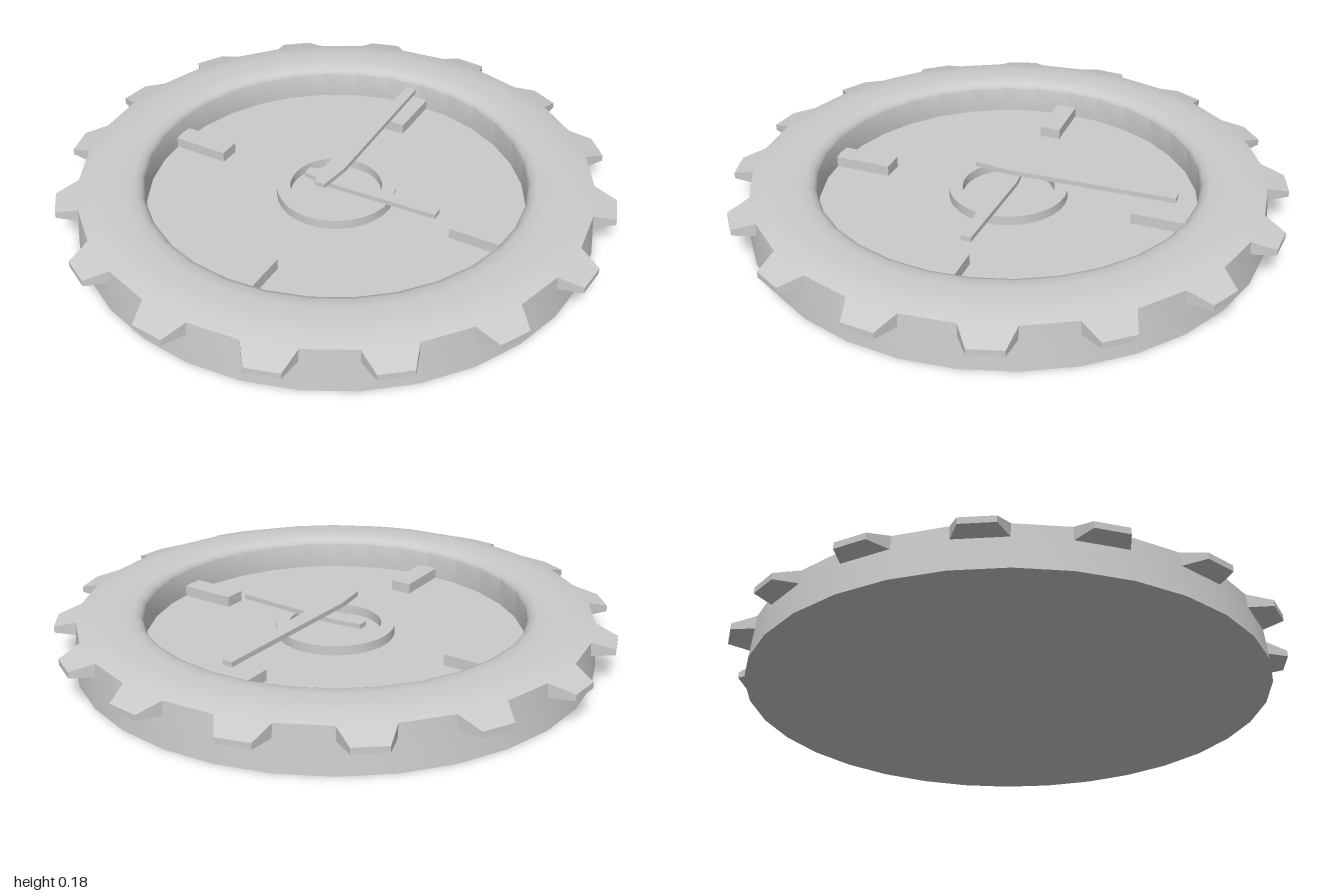
import * as THREE from 'three';
import { toCreasedNormals } from 'three/addons/utils/BufferGeometryUtils.js';

const SEGMENTS = 32;
const TEETH = 16;
const FLOOR = 0.05;

export function createModel() {
  const model = new THREE.Group();
  model.name = 'toothedDial';
  const grey = new THREE.MeshStandardMaterial({ color: 0xcccccc });

  const add = (name, geometry, parent = model) => {
    const mesh = new THREE.Mesh(geometry, grey);
    mesh.name = name;
    parent.add(mesh);
    return mesh;
  };
  const lathe = (points, crease) => toCreasedNormals(
    new THREE.LatheGeometry(points.map(([r, y]) => new THREE.Vector2(r, y)), SEGMENTS), crease);

  // Case: underside, outer wall, rounded bezel, inner wall and dial floor
  add('case', lathe([
    [0, 0], [0.935, 0], [0.92, 0.158], [0.88, 0.17], [0.83, 0.177], [0.76, 0.178],
    [0.72, 0.174], [0.7, 0.165], [0.69, 0.15], [0.69, FLOOR], [0, FLOOR],
  ], 0.6));

  // Bezel teeth: boxes tapered outwards, with a top that slopes down to the tip
  const tooth = new THREE.BoxGeometry(1, 1, 1);
  const p = tooth.attributes.position;
  for (let i = 0; i < p.count; i++) {
    const outer = p.getZ(i) < 0;
    const top = p.getY(i) > 0;
    p.setXYZ(i,
      Math.sign(p.getX(i)) * (outer ? 0.0575 : 0.09),
      top ? (outer ? 0.132 : 0.158) : 0.11,
      outer ? -0.998 : -0.9155);
  }
  tooth.computeVertexNormals();
  const teeth = new THREE.Group();
  teeth.name = 'bezelTeeth';
  model.add(teeth);
  for (let i = 0; i < TEETH; i++) {
    add('bezelTooth', tooth, teeth).rotation.y = -(i + 0.25) * 2 * Math.PI / TEETH;
  }

  // Raised ring at the middle of the dial
  add('centreRing', lathe([
    [0.217, FLOOR], [0.217, 0.085], [0.168, 0.085], [0.168, FLOOR],
  ], 0.6));

  // Four hour markers against the inner wall
  const marker = new THREE.BoxGeometry(0.08, 0.04, 0.22);
  marker.translate(0, FLOOR + 0.02, -0.58);
  for (let i = 0; i < 4; i++) add('hourMarker', marker).rotation.y = i * Math.PI / 2;

  // Hands: flat blades, widest at the pivot
  const hand = (name, length, y) => {
    const outline = [[-0.02, -0.12], [0.02, -0.12], [0.035, 0], [0.019, length],
      [-0.019, length], [-0.035, 0]];
    const shape = new THREE.Shape(outline.map(([x, z]) => new THREE.Vector2(x, z)));
    const geometry = new THREE.ExtrudeGeometry(shape, { depth: 0.018, bevelEnabled: false });
    geometry.rotateX(-Math.PI / 2);
    const mesh = add(name, geometry);
    mesh.position.y = y;
    return mesh;
  };
  hand('minuteHand', 0.62, 0.152);
  hand('hourHand', 0.405, 0.092).rotation.y = -Math.PI / 2;

  return model;
}
